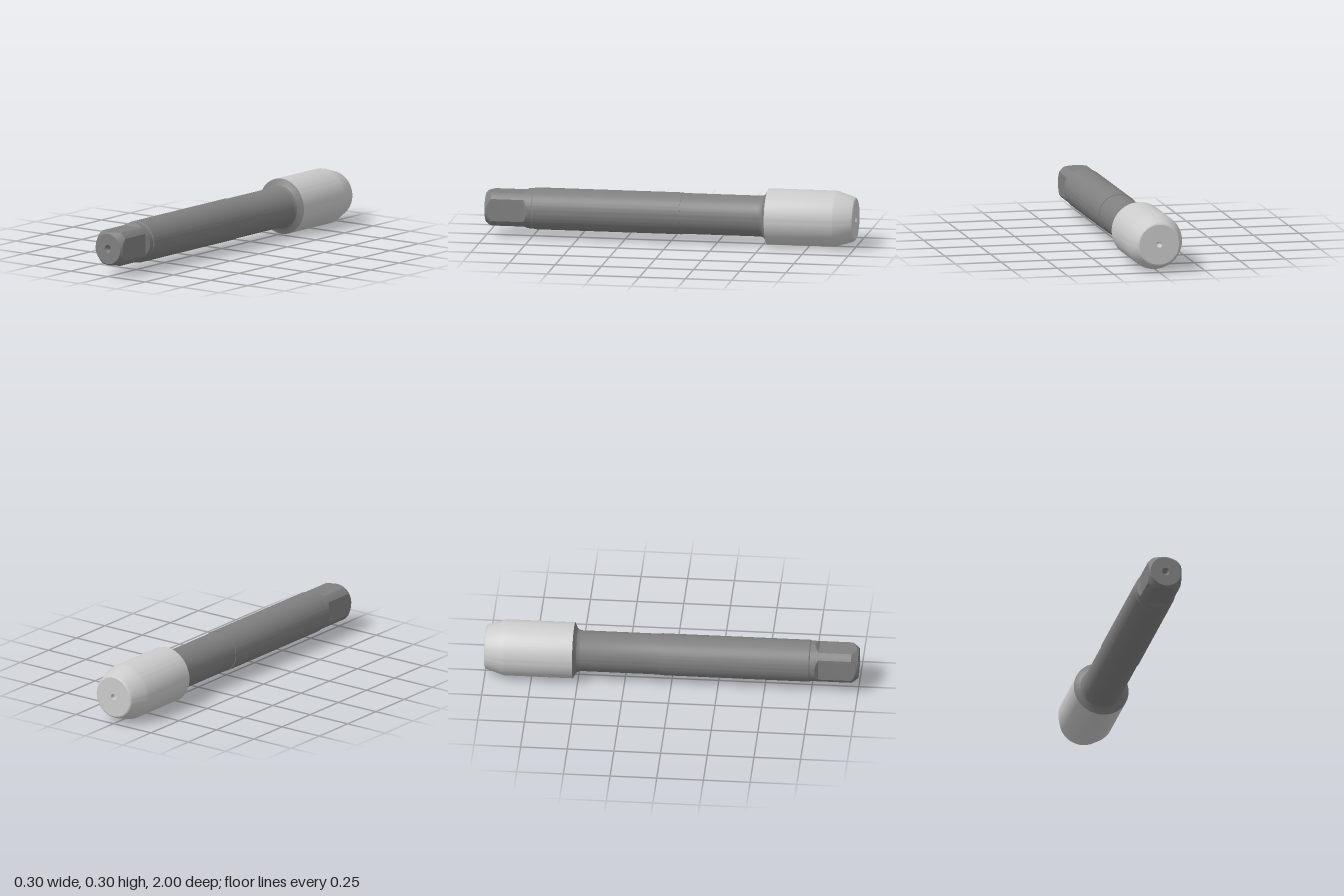
import * as THREE from 'three';
import { toCreasedNormals } from 'three/addons/utils/BufferGeometryUtils.js';

const SEGMENTS = 96;
const AXIS_HEIGHT = 0.15;

const steel = new THREE.MeshStandardMaterial({ color: 0xcccccc });
const darkSteel = new THREE.MeshStandardMaterial({ color: 0x808080 });

// Turned solid along z; the profile is [radius, z] with z running back to front.
function turned(name, profile, material, shape) {
  const points = profile.map(([r, z]) => new THREE.Vector2(r, z));
  let geometry = new THREE.LatheGeometry(points, SEGMENTS);
  geometry.rotateX(Math.PI / 2);
  if (shape) shape(geometry.attributes.position);
  geometry = toCreasedNormals(geometry, 0.3);
  const mesh = new THREE.Mesh(geometry, material);
  mesh.name = name;
  return mesh;
}

// Pulls in whatever lies outside four flats, with a sloped run-out at the shank.
function cutFlats(position) {
  for (let i = 0; i < position.count; i++) {
    const x = position.getX(i), y = position.getY(i), z = position.getZ(i);
    const t = THREE.MathUtils.clamp((z - 0.77) / 0.02, 0, 1);
    const flat = THREE.MathUtils.lerp(0.108, 0.09, t);
    const reach = Math.max(Math.abs(x), Math.abs(y));
    if (reach > flat) position.setXY(i, x * flat / reach, y * flat / reach);
  }
}

export function createModel() {
  const group = new THREE.Group();

  // Thick head with a tapered end and a small centre hole
  group.add(turned('head', [
    [0, -0.965], [0.014, -0.975], [0.016, -1], [0.108, -1], [0.115, -0.996],
    [0.121, -0.985], [0.148, -0.9], [0.15, -0.89], [0.15, -0.525],
  ], steel));

  // Chamfered shoulder flowing into the slimmer neck
  group.add(turned('neck', [
    [0.15, -0.525], [0.125, -0.513], [0.117, -0.507], [0.112, -0.498],
    [0.109, -0.485], [0.109, -0.06],
  ], darkSteel));

  // Straight shank with a small step at each end
  group.add(turned('shank', [
    [0.109, -0.06], [0.112, -0.06], [0.112, 0.738], [0.108, 0.744],
  ], darkSteel));

  // Square drive end: round bar with four flats, chamfered tip and centre hole
  const drive = [[0.108, 0.744]];
  for (let i = 0; i <= 8; i++) drive.push([0.108, 0.765 + i * 0.004]);
  for (let i = 0; i <= 12; i++) {
    const t = i / 12;
    drive.push([THREE.MathUtils.lerp(0.108, 0.082, t), THREE.MathUtils.lerp(0.965, 1, t)]);
  }
  drive.push([0.021, 1], [0.012, 0.985], [0.012, 0.96], [0, 0.953]);
  group.add(turned('squareDrive', drive, darkSteel, cutFlats));

  group.position.y = AXIS_HEIGHT;
  const model = new THREE.Group();
  model.name = 'threadingTool';
  model.add(group);
  group.name = 'toolBody';
  return model;
}
